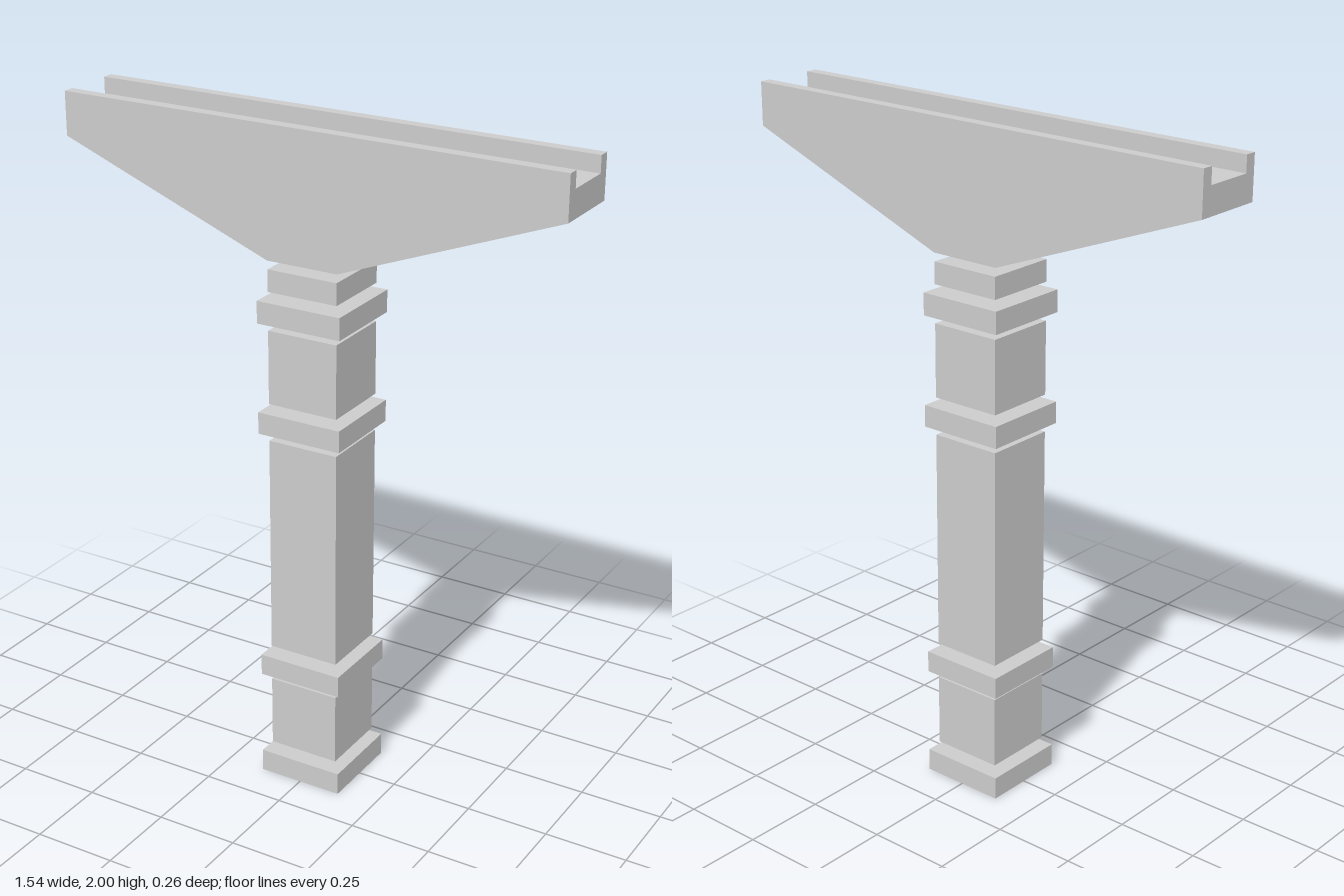
import * as THREE from 'three';

const material = new THREE.MeshStandardMaterial({ color: 0xcccccc, flatShading: true });

function addMesh(parent, name, geometry) {
  const mesh = new THREE.Mesh(geometry, material);
  mesh.name = name;
  parent.add(mesh);
  return mesh;
}

// Flared bracket outline up to a given height, extruded from z0 to z1
function bracketSlice(top, z0, z1) {
  const shape = new THREE.Shape([
    [-0.11, 1.62], [0.11, 1.62], [0.77, 1.872], [0.77, top], [-0.77, top], [-0.77, 1.872],
  ].map(([x, y]) => new THREE.Vector2(x, y)));
  const geometry = new THREE.ExtrudeGeometry(shape, { depth: z1 - z0, bevelEnabled: false });
  return geometry.translate(0, 0, z0);
}

export function createModel() {
  const model = new THREE.Group();
  model.name = 'pillar';

  // Square column: separate blocks and wider bands with narrow open joints
  const shaftHalf = 0.109, bandHalf = 0.131;
  const column = new THREE.Group();
  column.name = 'column';
  model.add(column);
  [
    ['base', bandHalf, 0, 0.068],
    ['lowerShaft', shaftHalf, 0.094, 0.312],
    ['lowerBand', bandHalf, 0.333, 0.398],
    ['mainShaft', shaftHalf, 0.424, 1.086],
    ['middleBand', bandHalf, 1.111, 1.176],
    ['upperShaft', shaftHalf, 1.198, 1.417],
    ['upperBand', bandHalf, 1.441, 1.507],
    ['neck', shaftHalf, 1.53, 1.595],
  ].forEach(([name, half, y0, y1]) => {
    const block = addMesh(column, name, new THREE.BoxGeometry(half * 2, y1 - y0, half * 2));
    block.position.y = (y0 + y1) / 2;
  });

  // Flared bracket with a channel along its top
  const bracket = new THREE.Group();
  bracket.name = 'bracket';
  model.add(bracket);
  addMesh(bracket, 'bracketCore', bracketSlice(1.952, -0.075, 0.075));
  addMesh(bracket, 'frontCheek', bracketSlice(2, 0.075, shaftHalf));
  addMesh(bracket, 'backCheek', bracketSlice(2, -shaftHalf, -0.075));

  return model;
}
